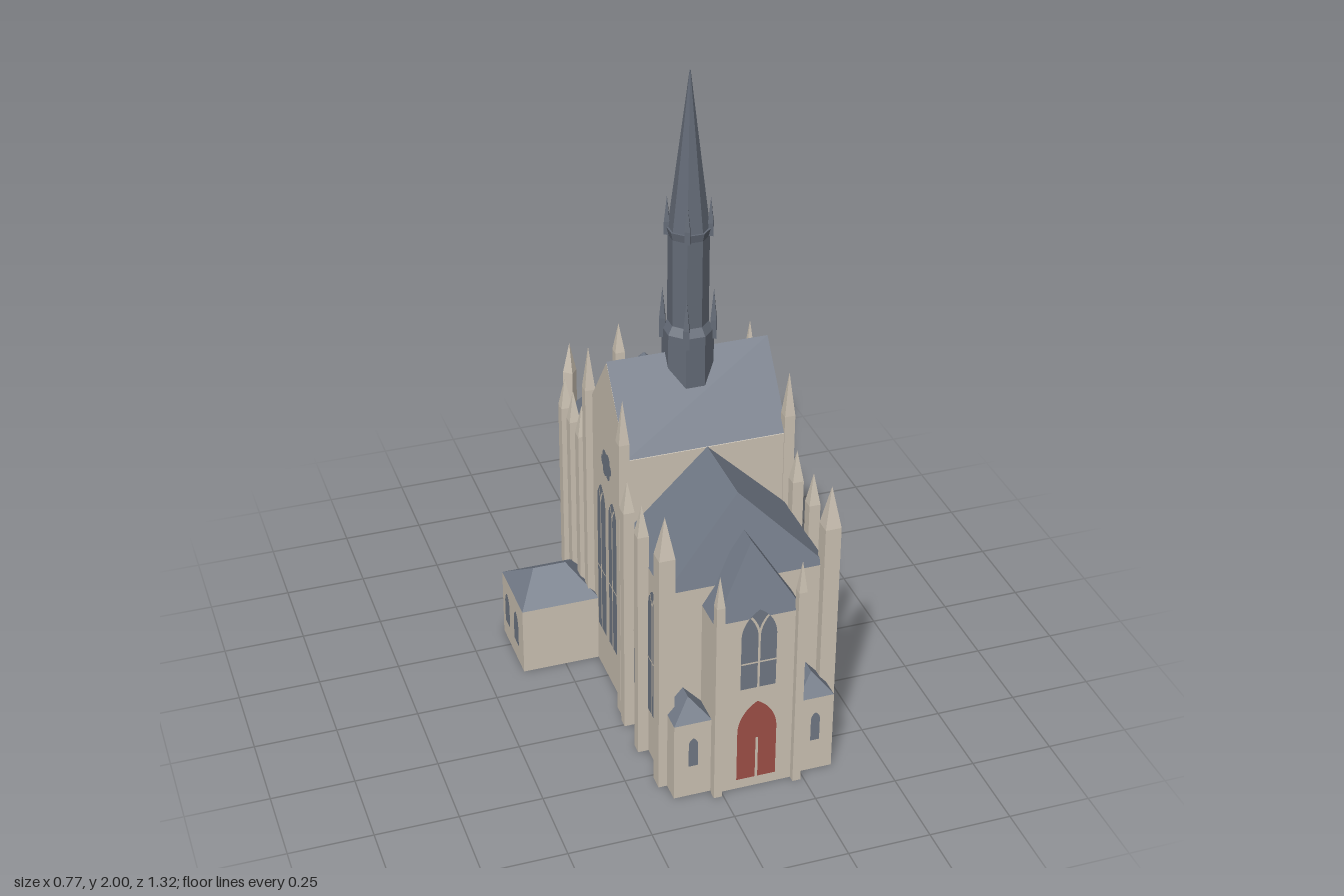
import * as THREE from 'three';

const mat = (name, color, extra = {}) => {
  const m = new THREE.MeshStandardMaterial({ color, ...extra });
  m.name = name;
  return m;
};

export function createModel() {
  const stone = mat('cream stone', 0xcdc3b4);
  const slate = mat('roof slate', 0x717986);
  const spireSlate = mat('spire slate', 0x646b77);
  const glass = mat('window glass', 0x717985);
  const red = mat('red door', 0xa05047);

  const church = new THREE.Group();
  church.name = 'church';
  const CX = 0.105; // long axis of the church
  const HW = 0.245; // half width of the nave

  const add = (name, geo, material, x = 0, y = 0, z = 0, parent = church) => {
    const m = new THREE.Mesh(geo, material);
    m.name = name;
    m.position.set(x, y, z);
    parent.add(m);
    return m;
  };
  const block = (name, x0, x1, y0, y1, z0, z1) => add(name,
    new THREE.BoxGeometry(x1 - x0, y1 - y0, z1 - z0), stone, (x0 + x1) / 2, (y0 + y1) / 2, (z0 + z1) / 2);

  // Roof from flat polygons, each turned to face upwards
  const roof = (name, polys) => {
    const pos = [];
    for (const p of polys) {
      for (let i = 1; i < p.length - 1; i++) {
        const [a, b, c] = [p[0], p[i], p[i + 1]].map(v => new THREE.Vector3(...v));
        const up = b.clone().sub(a).cross(c.clone().sub(a)).y > 0;
        for (const v of up ? [a, b, c] : [a, c, b]) pos.push(v.x, v.y, v.z);
      }
    }
    const g = new THREE.BufferGeometry();
    g.setAttribute('position', new THREE.Float32BufferAttribute(pos, 3));
    g.computeVertexNormals();
    return add(name, g, slate);
  };
  // Roof over a rectangle with a ridge from r0 to r1
  const hip = (name, x0, x1, z0, z1, y, r0, r1) => {
    const a = [x0, y, z0], b = [x1, y, z0], c = [x1, y, z1], d = [x0, y, z1];
    const alongX = r0[0] !== r1[0];
    roof(name, alongX
      ? [[a, b, r1, r0], [d, c, r1, r0], [a, d, r0], [b, c, r1]]
      : [[a, d, r1, r0], [b, c, r1, r0], [a, b, r0], [d, c, r1]]);
  };

  // Nave with its pointed apse
  const eaves = [[-HW, 0.53], [-HW, -0.39], [-0.17, -0.56], [0, -0.635], [0.17, -0.56], [HW, -0.39], [HW, 0.53]]
    .map(([x, z]) => [x + CX, z]);
  const naveGeo = new THREE.ExtrudeGeometry(
    new THREE.Shape(eaves.map(([x, z]) => new THREE.Vector2(x, -z))), { depth: 0.66, bevelEnabled: false });
  naveGeo.rotateX(-Math.PI / 2);
  add('naveWalls', naveGeo, stone);
  const E = eaves.map(([x, z]) => [x, 0.66, z]);
  const R0 = [CX, 0.9, 0.445], R1 = [CX, 0.9, -0.39];
  roof('naveRoof', [[E[0], E[1], R1, R0], [E[1], E[2], R1], [E[2], E[3], R1], [E[3], E[4], R1],
    [E[4], E[5], R1], [E[5], E[6], R0, R1], [E[6], E[0], R0]]);

  // Transept with gable ends
  const tz0 = -0.165, tz1 = 0.19, tzm = 0.0125;
  const gable = new THREE.Shape([[-tz1, 0], [-tz0, 0], [-tz0, 0.898], [-tzm, 1.127], [-tz1, 0.898]]
    .map(p => new THREE.Vector2(...p)));
  const gableGeo = new THREE.ExtrudeGeometry(gable, { depth: 2 * HW + 0.004, bevelEnabled: false });
  gableGeo.rotateY(Math.PI / 2);
  add('transeptWalls', gableGeo, stone, CX - HW - 0.002);
  const tl = CX - HW - 0.002, tr = CX + HW + 0.002;
  roof('transeptRoof', [tz0, tz1].map(z =>
    [[tl, 0.9, z], [tr, 0.9, z], [tr, 1.13, tzm], [tl, 1.13, tzm]]));

  // Entrance bay, side chapels and annex
  block('entranceWalls', CX - 0.133, CX + 0.133, 0, 0.6, 0.5, 0.635);
  hip('entranceRoof', CX - 0.133, CX + 0.133, 0.5, 0.635, 0.6, [CX, 0.81, 0.5], [CX, 0.81, 0.56]);
  for (const s of [-1, 1]) {
    const a = CX + s * 0.13, b = CX + s * HW, m = CX + s * 0.189;
    const x0 = Math.min(a, b), x1 = Math.max(a, b);
    block('sideChapelWalls', x0, x1, 0, 0.26, 0.52, 0.62);
    hip('sideChapelRoof', x0, x1, 0.525, 0.62, 0.26, [m, 0.325, 0.525], [m, 0.325, 0.575]);
  }
  block('annexWalls', -0.385, -0.135, 0, 0.225, -0.33, -0.1);
  hip('annexRoof', -0.385, -0.138, -0.33, -0.1, 0.225, [-0.315, 0.3, -0.215], [-0.212, 0.3, -0.215]);

  // Square buttress shaft with a pointed cap
  const pinnacle = (x, z, w, top, cap = 0.1, base = 0, turn = 0, material = stone, name = 'buttress') => {
    const g = new THREE.Group();
    g.name = name;
    g.position.set(x, base, z);
    g.rotation.y = turn;
    const h = top - cap - base;
    add('shaft', new THREE.BoxGeometry(w, h, w), material, 0, h / 2, 0, g);
    const capGeo = new THREE.ConeGeometry(w * 0.707, cap, 4).toNonIndexed();
    capGeo.rotateY(Math.PI / 4);
    capGeo.computeVertexNormals();
    add('cap', capGeo, material, 0, h + cap / 2, 0, g);
    church.add(g);
  };
  for (const s of [-1, 1]) {
    for (const z of [-0.375, -0.288, -0.2, 0.24, 0.37]) pinnacle(CX + s * 0.26, z, 0.034, 0.865);
    for (const z of [-0.147, 0.178]) pinnacle(CX + s * 0.253, z, 0.032, 1.095, 0.14);
    pinnacle(CX + s * 0.247, 0.535, 0.048, 0.925, 0.13);
    pinnacle(CX + s * 0.122, 0.643, 0.025, 0.77, 0.1);
    pinnacle(CX + s * 0.185, -0.575, 0.032, 0.865, 0.1, 0, s * 0.7);
  }
  pinnacle(CX, -0.648, 0.032, 0.865);

  // Pointed arch of width w and height h, standing on y = 0
  const arch = (w, h) => {
    const s = h - 0.866 * w, p = new THREE.Shape();
    p.moveTo(-w / 2, 0);
    p.lineTo(w / 2, 0);
    p.lineTo(w / 2, s);
    p.absarc(-w / 2, s, w, 0, Math.PI / 3, false);
    p.absarc(w / 2, s, w, Math.PI * 2 / 3, Math.PI, false);
    p.lineTo(-w / 2, 0);
    return new THREE.ShapeGeometry(p, 8);
  };
  const panel = (name, x, y, z, turn) => {
    const g = new THREE.Group();
    g.name = name;
    g.position.set(x, y, z);
    g.rotation.y = turn;
    church.add(g);
    return g;
  };
  const lancet = (x, y, z, turn, w, h) =>
    add('pane', arch(w, h), glass, 0, 0, 0.004, panel('smallWindow', x, y, z, turn));
  // Two-light window with mullion, transom and branching tracery
  const traceryWindow = (x, y, z, turn, w, h, bar) => {
    const g = panel('traceryWindow', x, y, z, turn), s = h - 0.866 * w, t = 0.0035;
    add('pane', arch(w, h), glass, 0, 0, 0.004, g);
    add('mullion', new THREE.PlaneGeometry(2 * t, s), stone, 0, s / 2, 0.006, g);
    add('transom', new THREE.PlaneGeometry(w, 1.6 * t), stone, 0, bar, 0.006, g);
    add('tracery', new THREE.RingGeometry(w - t, w + t, 6, 1, 0, 0.72), stone, -w, s, 0.006, g);
    add('tracery', new THREE.RingGeometry(w - t, w + t, 6, 1, Math.PI - 0.72, 0.72), stone, w, s, 0.006, g);
  };

  // Side windows and round transept windows
  for (const s of [-1, 1]) {
    const x = CX + s * HW, turn = s * Math.PI / 2;
    for (const z of [0.437, 0.305]) traceryWindow(x, 0.165, z, turn, 0.08, 0.445, 0.195);
    for (const z of [-0.243, -0.328]) traceryWindow(x, 0.165, z, turn, 0.064, 0.445, 0.195);
    for (const z of [0.07, -0.04]) traceryWindow(x + s * 0.002, 0.15, z, turn, 0.08, 0.53, 0.225);
    const rose = panel('roseWindow', x + s * 0.002, 0.78, tzm, turn);
    add('pane', new THREE.CircleGeometry(0.028, 16), glass, 0, 0, 0.004, rose);
    for (let i = 0; i < 6; i++) {
      const a = i * Math.PI / 3;
      add('foil', new THREE.CircleGeometry(0.019, 12), glass, 0.029 * Math.cos(a), 0.029 * Math.sin(a), 0.004, rose);
    }
  }
  // Apse windows; the face beside the annex is blank
  for (const i of [2, 3, 4]) {
    const [ax, az] = eaves[i], [bx, bz] = eaves[i + 1];
    traceryWindow((ax + bx) / 2, 0.165, (az + bz) / 2, Math.atan2(bz - az, ax - bx) + Math.PI + Math.PI
      , 0.08, 0.445, 0.195);
  }
  // Front windows, annex windows and door
  traceryWindow(CX, 0.36, 0.635, 0, 0.107, 0.27, 0.09);
  for (const s of [-1, 1]) lancet(CX + s * 0.188, 0.11, 0.62, 0, 0.028, 0.1);
  for (const z of [-0.265, -0.165]) lancet(-0.385, 0.07, z, -Math.PI / 2, 0.05, 0.115);
  const door = panel('door', CX, 0.035, 0.635, 0);
  add('doorLeaves', arch(0.12, 0.275), red, 0, 0, 0.004, door);
  add('doorPost', new THREE.PlaneGeometry(0.008, 0.145), stone, 0, 0.0725, 0.006, door);

  // Eight-sided ridge turret and spire
  const octagon = (name, r0, r1, y0, y1) => {
    const g = new THREE.CylinderGeometry(r1, r0, y1 - y0, 8).toNonIndexed();
    g.rotateY(Math.PI / 8);
    g.computeVertexNormals();
    add(name, g, spireSlate, CX, (y0 + y1) / 2, tzm);
  };
  octagon('turretBase', 0.077, 0.075, 0.95, 1.2);
  octagon('turretShoulder', 0.075, 0.06, 1.2, 1.225);
  octagon('turretShaft', 0.06, 0.06, 1.2, 1.5);
  octagon('turretCornice', 0.06, 0.066, 1.5, 1.525);
  octagon('spire', 0.06, 0.0015, 1.525, 2);
  for (let i = 0; i < 4; i++) {
    const a = Math.PI / 8 + (i + 0.5) * Math.PI / 2 - Math.PI / 4;
    const b = a + Math.PI / 4 + Math.PI / 4;
    const c = Math.cos(b + Math.PI / 4 - Math.PI / 4), d = Math.sin(b);
    pinnacle(CX + 0.074 * c, tzm + 0.074 * d, 0.018, 1.33, 0.1, 1.17, -b, spireSlate, 'lowerTurretPinnacle');
    pinnacle(CX + 0.062 * c, tzm + 0.062 * d, 0.016, 1.62, 0.08, 1.5, -b, spireSlate, 'upperTurretPinnacle');
  }
  return church;
}
